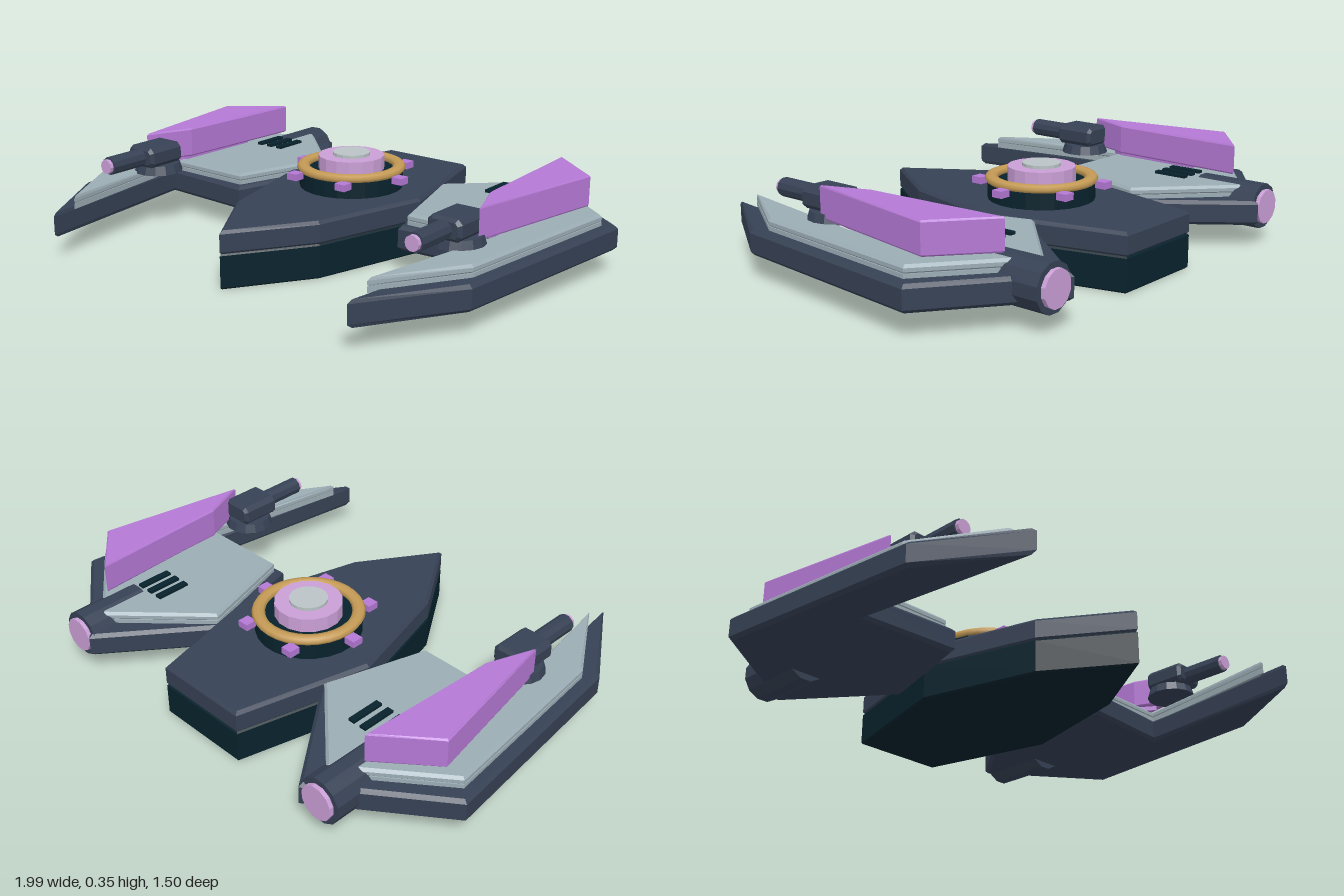
import * as THREE from 'three';

const paint = (name, color) => {
  const m = new THREE.MeshStandardMaterial({ color });
  m.name = name;
  return m;
};

export function createModel() {
  const slate = paint('slate armour', 0x364154);
  const teal = paint('dark teal', 0x08222c);
  const grey = paint('blue grey plate', 0x9bacb4);
  const purple = paint('purple', 0xb478d4);
  const lilac = paint('lilac glow', 0xca9fd6);
  const gold = paint('gold', 0xc49a55);
  const pale = paint('pale grey', 0xbac3c6);

  const model = new THREE.Group();
  model.name = 'spacecraft';

  const add = (parent, name, geometry, material, x = 0, y = 0, z = 0) => {
    const mesh = new THREE.Mesh(geometry, material);
    mesh.name = name;
    mesh.position.set(x, y, z);
    parent.add(mesh);
    return mesh;
  };

  // Horizontal slab from an [x, z] outline between two heights, edges bevelled
  const slab = (points, y0, y1, bevel) => {
    const shape = new THREE.Shape(points.map(([x, z]) => new THREE.Vector2(x, z)));
    const g = new THREE.ExtrudeGeometry(shape, {
      depth: y1 - y0 - 2 * bevel, bevelEnabled: bevel > 0, bevelSegments: 1,
      bevelSize: bevel, bevelThickness: bevel, bevelOffset: -bevel,
    });
    return g.rotateX(Math.PI / 2).translate(0, y1 - bevel, 0);
  };

  // Faceted cylinder, upright or lying along z
  const drum = (r, length, sides, alongZ = false, rTop = r) => {
    let g = new THREE.CylinderGeometry(rTop, r, length, sides).rotateY(Math.PI / sides);
    if (alongZ) g.rotateX(Math.PI / 2);
    g = g.toNonIndexed();
    g.computeVertexNormals();
    return g;
  };

  // Central hull: dark keel with armoured deck
  const half = [[0.2, 0.28], [0.32, -0.17], [0.19, -0.685]];
  const outline = [[0, 0.583], ...half, ...half.map(([x, z]) => [-x, z]).reverse()];
  add(model, 'keel', slab(outline, 0, 0.13, 0.006), teal);
  add(model, 'deck', slab(outline, 0.125, 0.215, 0.012), slate);

  // Core turret on the deck
  const core = new THREE.Group();
  core.name = 'core';
  core.position.z = -0.16;
  model.add(core);
  add(core, 'collar', drum(0.2, 0.075, 24), teal, 0, 0.2425);
  const ring = new THREE.TorusGeometry(0.185, 0.025, 8, 32).rotateX(Math.PI / 2).scale(1, 0.68, 1);
  add(core, 'goldRing', ring, gold, 0, 0.29);
  add(core, 'coreDrum', drum(0.127, 0.07, 16), lilac, 0, 0.3);
  add(core, 'coreCap', drum(0.072, 0.02, 16), pale, 0, 0.337);
  for (let i = 0; i < 6; i++) {
    const a = (i * Math.PI) / 3;
    add(core, 'ringStud', new THREE.BoxGeometry(0.045, 0.026, 0.045), purple,
      0.23 * Math.cos(a), 0.272, 0.23 * Math.sin(a));
  }

  // Wing outlines, given for the left side
  const wing = [[0.683, 0.745], [0.91, 0.4], [0.997, -0.43], [0.565, -0.75],
    [0.265, -0.36], [0.385, 0.065], [0.77, 0.04]];
  const plate = [[0.683, 0.645], [0.875, 0.34], [0.95, -0.39], [0.6, -0.66],
    [0.285, -0.36], [0.405, 0.035], [0.78, 0.03]];
  const fin = [[0.683, -0.57], [0.888, -0.405], [0.785, 0.17], [0.713, -0.01]];
  const finFoot = [[0.72, -0.36], [0.83, -0.33], [0.77, 0.06], [0.73, 0]];

  for (const s of [1, -1]) {
    const side = new THREE.Group();
    side.name = s > 0 ? 'leftWing' : 'rightWing';
    model.add(side);
    const flip = (pts) => pts.map(([x, z]) => [s * x, z]);

    add(side, 'wingBody', slab(flip(wing), 0.088, 0.182, 0.013), slate);
    add(side, 'wingPlateBase', slab(flip(plate), 0.175, 0.197, 0), grey);
    add(side, 'wingPlate', slab(flip(plate), 0.192, 0.225, 0.01), grey);
    add(side, 'finFoot', slab(flip(finFoot), 0.22, 0.245, 0), purple);
    add(side, 'fin', slab(flip(fin), 0.238, 0.355, 0.006), purple);

    // Cooling vents
    for (const x of [0.515, 0.567, 0.619]) {
      add(side, 'vent', new THREE.BoxGeometry(0.026, 0.01, 0.135), teal, s * x, 0.243, -0.392);
    }

    // Rear engine
    add(side, 'engine', drum(0.087, 0.27, 12, true), slate, s * 0.64, 0.148, -0.595);
    add(side, 'engineGlow', drum(0.066, 0.03, 12, true), lilac, s * 0.64, 0.148, -0.731);

    // Forward gun
    const gun = new THREE.Group();
    gun.name = 'gun';
    gun.position.set(s * 0.715, 0, 0.18);
    side.add(gun);
    add(gun, 'gunBase', drum(0.096, 0.035, 14, false, 0.085), slate, 0, 0.238, 0);
    const c = 0.018;
    const body = new THREE.Shape([[0.068, 0.04 - c], [0.068 - c, 0.04], [c - 0.068, 0.04],
      [-0.068, 0.04 - c], [-0.068, c - 0.04], [c - 0.068, -0.04], [0.068 - c, -0.04],
      [0.068, c - 0.04]].map(([x, y]) => new THREE.Vector2(x, y)));
    add(gun, 'gunBody', new THREE.ExtrudeGeometry(body, {
      depth: 0.145, bevelSize: 0.012, bevelThickness: 0.012, bevelOffset: -0.012, bevelSegments: 1,
    }), slate, 0, 0.294, -0.06);
    add(gun, 'gunBarrel', drum(0.035, 0.18, 10, true), slate, 0, 0.292, 0.17);
    add(gun, 'gunMuzzle', drum(0.028, 0.02, 10, true), lilac, 0, 0.292, 0.265);
  }
  return model;
}
